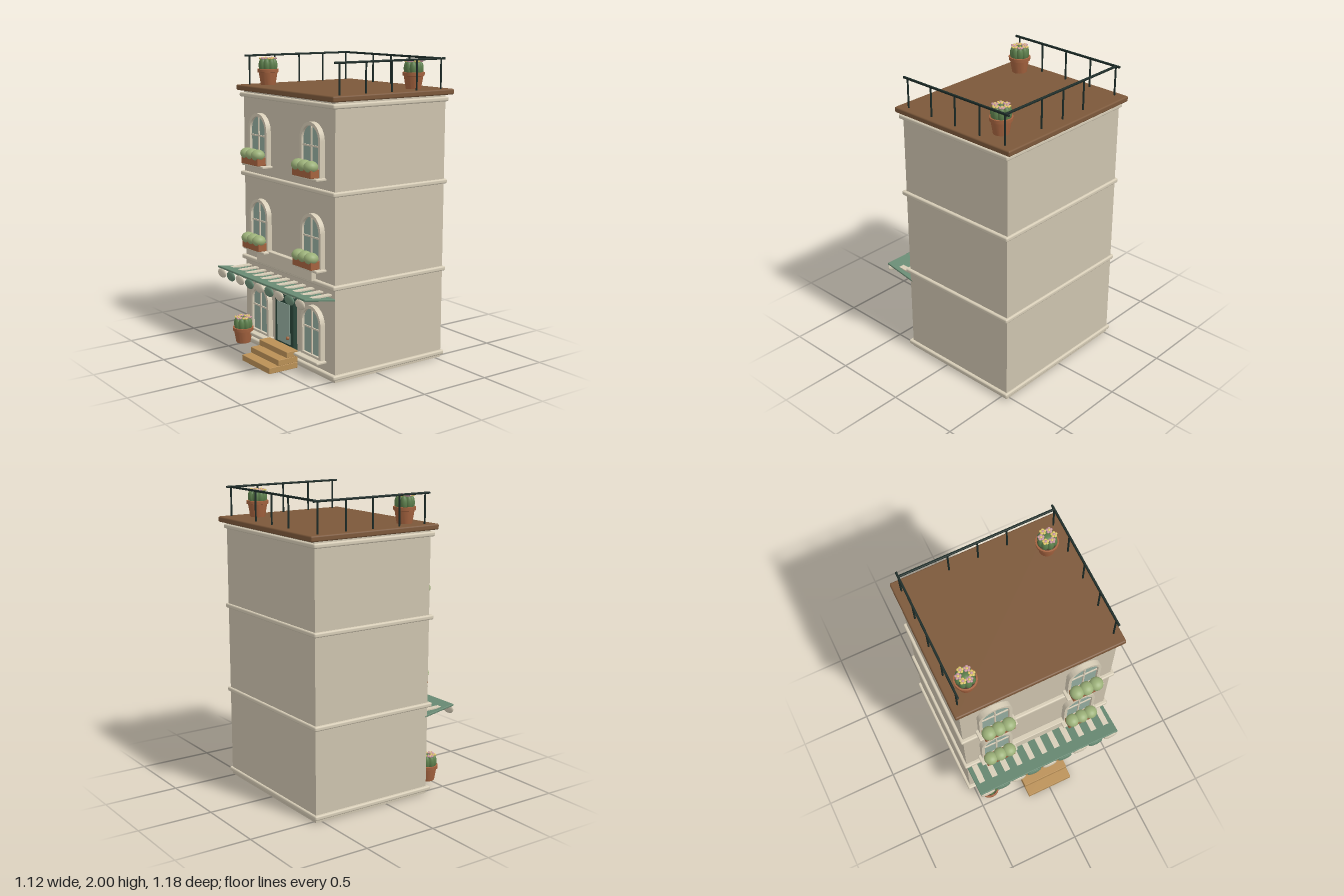
import * as THREE from 'three';
import { RoundedBoxGeometry } from 'three/addons/geometries/RoundedBoxGeometry.js';
import { toCreasedNormals } from 'three/addons/utils/BufferGeometryUtils.js';

const mat = (color) => new THREE.MeshStandardMaterial({ color });
const M = {
  wall: mat(0xcdc3ae), trim: mat(0xd6ccb6), roof: mat(0x7c583a), glass: mat(0x93ab9e),
  green: mat(0x688a73), dark: mat(0x2a4539), iron: mat(0x1c2b27), clay: mat(0xa5633f),
  cactus: mat(0x5d7f4c), bush: mat(0x9bb078), wood: mat(0xba9056), soil: mat(0x4a3626),
  yellow: mat(0xdcc468), pink: mat(0xc997a0), copper: mat(0xa0673f),
};
const FRONT = 0.33, BACK = -0.545, MID = (FRONT + BACK) / 2;

function add(parent, name, geo, material, x = 0, y = 0, z = 0) {
  const m = new THREE.Mesh(geo, material);
  m.name = name;
  m.position.set(x, y, z);
  parent.add(m);
  return m;
}

// Box given by its min and max corners, optionally rounded
function box(parent, name, material, [x0, x1], [y0, y1], [z0, z1], r = 0) {
  const s = [x1 - x0, y1 - y0, z1 - z0];
  const geo = r ? new RoundedBoxGeometry(...s, 2, r) : new THREE.BoxGeometry(...s);
  return add(parent, name, geo, material, (x0 + x1) / 2, (y0 + y1) / 2, (z0 + z1) / 2);
}

function ball(parent, name, material, [x, y, z], [rx, ry, rz]) {
  const m = add(parent, name, new THREE.SphereGeometry(1, 20, 14), material, x, y, z);
  m.scale.set(rx, ry, rz);
  return m;
}

// Round-headed outline standing on y = base
function arch(Type, halfWidth, base, spring) {
  const s = new Type();
  s.moveTo(-halfWidth, base);
  s.lineTo(halfWidth, base);
  s.lineTo(halfWidth, spring);
  s.absarc(0, spring, halfWidth, 0, Math.PI, false);
  s.closePath();
  return s;
}

const extrude = (shape, depth) =>
  toCreasedNormals(new THREE.ExtrudeGeometry(shape, { depth, bevelEnabled: false, curveSegments: 20 }), 0.6);

// Arched window; the origin is the wall surface at the sill top
function makeWindow(planted) {
  const g = new THREE.Group();
  g.name = 'window';
  const outer = arch(THREE.Shape, 0.112, 0, 0.224);
  outer.holes.push(arch(THREE.Path, 0.091, 0.015, 0.224));
  add(g, 'windowFrame', extrude(outer, 0.035), M.trim);
  add(g, 'windowGlass', extrude(arch(THREE.Shape, 0.092, 0.01, 0.224), 0.018), M.glass);
  box(g, 'mullion', M.trim, [-0.005, 0.005], [0.01, 0.313], [0.015, 0.026]);
  box(g, 'transom', M.trim, [-0.09, 0.09], [0.183, 0.193], [0.015, 0.026]);
  box(g, 'sill', M.trim, [-0.132, 0.132], [-0.018, 0], [0, 0.078], 0.006);
  if (planted) {
    box(g, 'flowerBox', M.clay, [-0.103, 0.103], [0, 0.055], [0.034, 0.1], 0.004);
    for (const x of [-0.068, 0, 0.068]) ball(g, 'bush', M.bush, [x, 0.068, 0.074], [0.046, 0.038, 0.046]);
  }
  return g;
}

// Potted ribbed cactus with a ring of flowers on top
function makePot() {
  const g = new THREE.Group();
  g.name = 'pottedCactus';
  const profile = [[0, 0], [0.049, 0], [0.063, 0.082], [0.071, 0.084], [0.072, 0.106], [0.062, 0.107], [0.06, 0.092], [0, 0.092]]
    .map(([x, y]) => new THREE.Vector2(x, y));
  add(g, 'pot', toCreasedNormals(new THREE.LatheGeometry(profile, 28), 0.5), M.clay);
  add(g, 'soil', new THREE.CylinderGeometry(0.06, 0.06, 0.006, 24), M.soil, 0, 0.094, 0);
  ball(g, 'cactusCore', M.cactus, [0, 0.125, 0], [0.045, 0.045, 0.045]);
  for (let i = 0; i < 8; i++) {
    const a = (i / 8) * Math.PI * 2;
    ball(g, 'cactusRib', M.cactus, [0.041 * Math.cos(a), 0.13, 0.041 * Math.sin(a)], [0.023, 0.047, 0.023]);
  }
  const bead = new THREE.SphereGeometry(1, 8, 6);
  for (let i = 0; i < 6; i++) {
    const a = (i / 6) * Math.PI * 2 + 0.2;
    const fx = 0.04 * Math.cos(a), fz = 0.04 * Math.sin(a);
    for (let p = 0; p < 6; p++) {
      const b = (p / 5) * Math.PI * 2, r = p < 5 ? 0.0135 : 0;
      const color = (i % 2 === 0) === (p < 5) ? M.yellow : M.pink;
      const petal = add(g, p < 5 ? 'petal' : 'flowerCentre', bead, color,
        fx + r * Math.cos(b), p < 5 ? 0.176 : 0.179, fz + r * Math.sin(b));
      petal.scale.set(0.0095, 0.006, 0.0095);
    }
  }
  return g;
}

function place(parent, child, x, y, z) {
  child.position.set(x, y, z);
  parent.add(child);
}

export function createModel() {
  const model = new THREE.Group();
  model.name = 'townBuilding';

  // Walls, floor bands and roof slab
  box(model, 'walls', M.wall, [-0.525, 0.525], [0, 1.77], [BACK, FRONT]);
  for (const y of [0.035, 0.615, 1.2, 1.735])
    box(model, 'floorBand', M.trim, [-0.545, 0.545], [y - 0.015, y + 0.015], [BACK - 0.014, FRONT + 0.025], 0.01);
  box(model, 'roofSlab', M.roof, [-0.56, 0.56], [1.763, 1.8], [-0.59, 0.37], 0.01);

  // Windows
  for (const [y, planted] of [[0.12, false], [0.715, true], [1.29, true]])
    for (const x of [-0.305, 0.305]) place(model, makeWindow(planted), x, y, FRONT);

  // Door
  const door = new THREE.Group();
  door.name = 'door';
  model.add(door);
  box(door, 'doorFrame', M.dark, [-0.11, 0.11], [0.02, 0.465], [FRONT, 0.366], 0.01);
  box(door, 'doorGlass', M.glass, [-0.075, 0.075], [0.135, 0.405], [0.35, 0.37]);
  ball(door, 'doorKnob', M.copper, [0.062, 0.18, 0.378], [0.012, 0.012, 0.012]);

  // Entrance steps
  [0.59, 0.52, 0.455].forEach((z, i) =>
    box(model, 'step', M.wood, [-0.168, 0.168], [0.007 + i * 0.04, 0.047 + i * 0.04], [0.37, z], 0.003));

  // Blank sign board
  box(model, 'signBoard', M.trim, [-0.325, 0.325], [0.618, 0.718], [FRONT, 0.368], 0.005);

  // Awning: tilted canopy, stripes and scalloped edge
  const awning = new THREE.Group();
  awning.name = 'awning';
  model.add(awning);
  const canopy = add(awning, 'canopy', new RoundedBoxGeometry(1.05, 0.014, 0.25, 2, 0.004), M.green, 0, 0.553, 0.434);
  canopy.rotation.x = -0.16;
  for (let i = -5; i <= 5; i++)
    box(awning, 'stripe', M.trim, [i * 0.095 - 0.02, i * 0.095 + 0.02], [0.559, 0.567], [FRONT, 0.55]);
  for (let i = -4; i <= 4; i++)
    ball(awning, 'scallop', i % 2 ? M.green : M.trim, [i * 0.118, 0.537, 0.555], [0.052, 0.032, 0.012]);

  // Roof railing on the back and both sides
  const railing = new THREE.Group();
  railing.name = 'railing';
  model.add(railing);
  const post = (x, z) => add(railing, 'railPost', new THREE.CylinderGeometry(0.006, 0.006, 0.195, 10), M.iron, x, 1.895, z);
  box(railing, 'backRail', M.iron, [-0.515, 0.515], [1.986, 2], [-0.522, -0.508], 0.004);
  for (const x of [-0.195, 0, 0.195]) post(x, -0.515);
  for (const x of [-0.512, 0.512]) {
    box(railing, 'sideRail', M.iron, [x - 0.007, x + 0.007], [1.986, 2], [-0.547, 0.327], 0.004);
    for (let i = 0; i < 5; i++) post(x, 0.29 - i * 0.201);
  }

  // Potted cacti on the roof and by the door
  place(model, makePot(), -0.415, 1.8, 0.205);
  place(model, makePot(), 0.4, 1.8, -0.38);
  place(model, makePot(), -0.415, 0.042, 0.43);
  return model;
}
